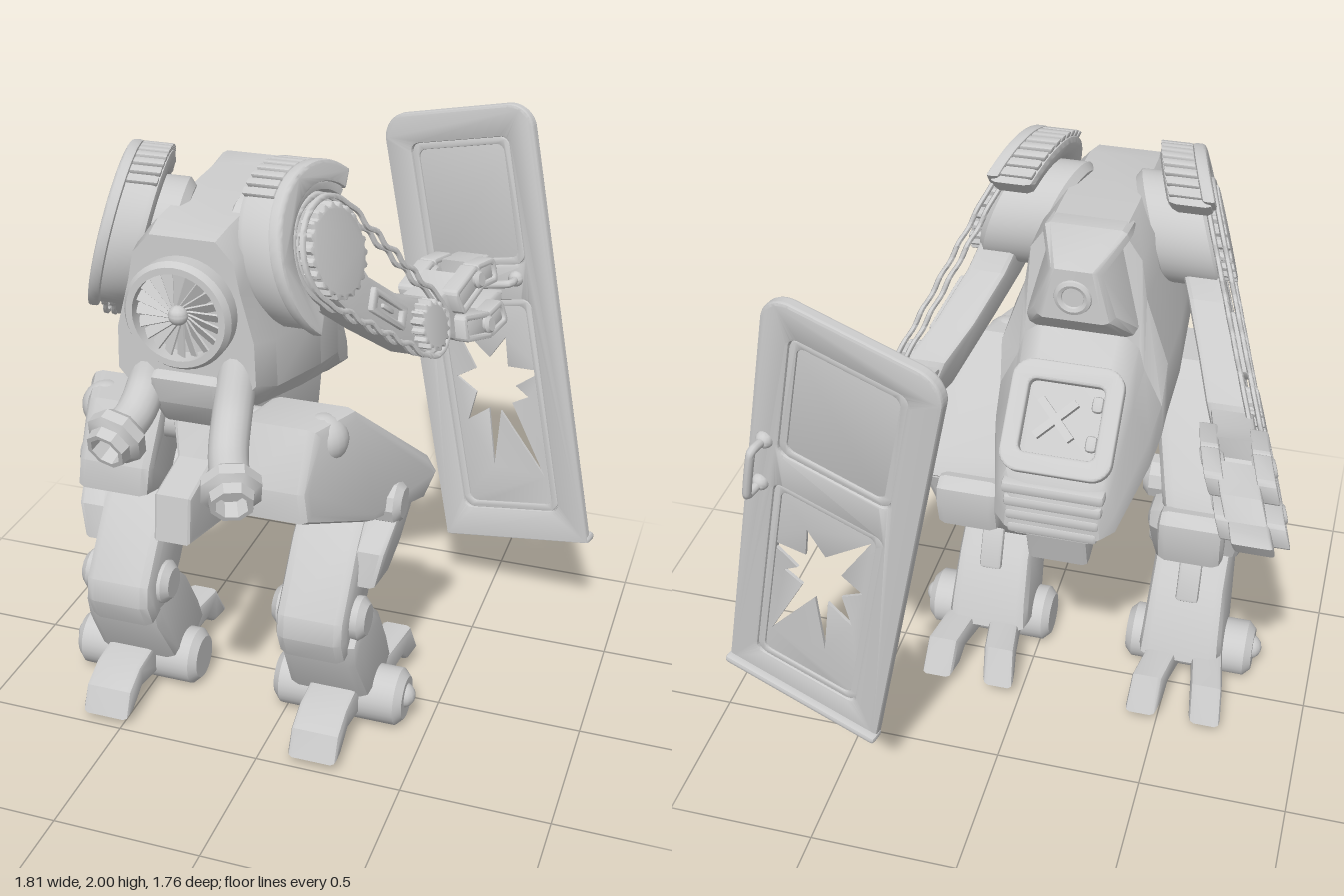
import * as THREE from 'three';
import { toCreasedNormals } from 'three/addons/utils/BufferGeometryUtils.js';
import { RoundedBoxGeometry } from 'three/addons/geometries/RoundedBoxGeometry.js';

const mat = new THREE.MeshStandardMaterial({ color: 0xcccccc, side: THREE.DoubleSide });
const V = (x, y, z) => new THREE.Vector3(x, y, z);

function add(parent, name, geo, crease = 0.6) {
  const mesh = new THREE.Mesh(toCreasedNormals(geo, crease), mat);
  mesh.name = name;
  parent.add(mesh);
  return mesh;
}

// Moves every vertex by a rule
function warp(geo, fn) {
  const p = geo.attributes.position, v = V(0, 0, 0);
  for (let i = 0; i < p.count; i++) {
    fn(v.fromBufferAttribute(p, i));
    p.setXYZ(i, v.x, v.y, v.z);
  }
  return geo;
}

// Mirrored copy in x with the triangle winding kept outward
function mirror(src) {
  const g = src.index ? src.toNonIndexed() : src.clone(), p = g.attributes.position;
  for (let i = 0; i < p.count; i += 3) {
    const t = [0, 2, 1].map(k => V(0, 0, 0).fromBufferAttribute(p, i + k));
    t.forEach((v, k) => p.setXYZ(i + k, -v.x, v.y, v.z));
  }
  return g;
}

function pair(parent, name, geo, crease) {
  add(parent, name + 'Left', geo, crease);
  add(parent, name + 'Right', mirror(geo), crease);
}

const shape = pts => new THREE.Shape(pts.map(p => new THREE.Vector2(...p)));

// Side profile [z, y] extruded across x
function prism(profile, w, cx = 0, bevel = 0.018) {
  const s = Array.isArray(profile) ? shape(profile) : profile;
  const g = new THREE.ExtrudeGeometry(s, { depth: w - 2 * bevel, bevelSize: bevel, bevelThickness: bevel,
    bevelOffset: -bevel, bevelSegments: 2, curveSegments: 24 });
  return g.translate(0, 0, bevel - w / 2).rotateY(-Math.PI / 2).translate(cx, 0, 0);
}

// Cylinder lying along x with softened rims
function disc(r, w, x, y, z, n = 28) {
  const b = Math.min(0.025, w * 0.3, r * 0.3);
  const pts = [[0, -w / 2], [r - b, -w / 2], [r, b - w / 2], [r, w / 2 - b], [r - b, w / 2], [0, w / 2]];
  return new THREE.LatheGeometry(pts.map(p => new THREE.Vector2(...p)), n).rotateZ(-Math.PI / 2).translate(x, y, z);
}

const box = (w, h, d, x, y, z, rx = 0, r = 0.012) =>
  new RoundedBoxGeometry(w, h, d, 1, r).rotateX(rx).translate(x, y, z);

// Skin over a row of equal rings, with closed ends
function loft(rings) {
  const n = rings[0].length, pos = [], tri = (...v) => v.forEach(p => pos.push(...p));
  for (let i = 0; i < rings.length - 1; i++) for (let j = 0; j < n; j++) {
    const [a, b, c, d] = [rings[i][j], rings[i][(j + 1) % n], rings[i + 1][(j + 1) % n], rings[i + 1][j]];
    tri(a, c, b); tri(a, d, c);
  }
  const first = rings[0], last = rings.at(-1);
  for (let j = 1; j < n - 1; j++) {
    tri(first[0], first[j], first[j + 1]);
    tri(last[0], last[j + 1], last[j]);
  }
  return new THREE.BufferGeometry().setAttribute('position', new THREE.Float32BufferAttribute(pos, 3));
}

// Round-cornered rectangle
function rect(x0, y0, x1, y1, r, Type = THREE.Path) {
  const s = new Type();
  s.absarc(x1 - r, y1 - r, r, 0, Math.PI / 2).absarc(x0 + r, y1 - r, r, Math.PI / 2, Math.PI);
  s.absarc(x0 + r, y0 + r, r, Math.PI, Math.PI * 1.5).absarc(x1 - r, y0 + r, r, Math.PI * 1.5, Math.PI * 2);
  s.closePath();
  return s;
}

function buildBody(g) {
  // z, bottom, top, lower half width, upper half width
  const rows = [[0.54, 1.34, 1.84, 0.22, 0.165], [0.45, 1.3, 1.86, 0.255, 0.18], [0.1, 1.21, 1.88, 0.275, 0.185],
    [-0.09, 1.16, 1.89, 0.27, 0.18], [-0.13, 1.15, 1.57, 0.265, 0.19], [-0.24, 1.11, 1.49, 0.25, 0.18],
    [-0.46, 1.03, 1.27, 0.19, 0.16], [-0.5, 1.03, 1.2, 0.15, 0.13]];
  add(g, 'torso', loft(rows.map(([z, b, t, w, u]) => {
    const h = t - b;
    const half = [[w * 0.75, b], [w, b + 0.13 * h], [w * 0.98, b + 0.4 * h], [u + 0.01, t - 0.3 * h],
      [u * 0.95, t - 0.12 * h], [u * 0.62, t]];
    return [...half.map(([x, y]) => [x, y, z]), ...half.reverse().map(([x, y]) => [-x, y, z])];
  })), 0.7);
  const hump = prism([[0.02, 1.88], [-0.1, 1.9], [-0.26, 1.84], [-0.26, 1.67], [-0.14, 1.56], [0.02, 1.56]], 0.35, 0, 0.03);
  add(g, 'rearHump', warp(hump, v => { v.x *= 1 - 2.6 * Math.max(0, -0.12 - v.z) * (v.y > 1.6 ? 1 : 0.5) - (v.y > 1.8 ? 0.25 : 0); }));
  add(g, 'rearPort', new THREE.TorusGeometry(0.045, 0.015, 8, 24).translate(0, 1.75, -0.255));

  // Fan in a round housing
  const ring = [[0.135, -0.08], [0.165, -0.08], [0.168, 0.02], [0.155, 0.04], [0.135, 0.04], [0.135, -0.08]];
  add(g, 'fanHousing', new THREE.LatheGeometry(ring.map(p => new THREE.Vector2(...p)), 40)
    .rotateX(Math.PI / 2).translate(0, 1.62, 0.57));
  add(g, 'fanHub', new THREE.SphereGeometry(0.03, 16, 10).translate(0, 1.62, 0.585));
  for (let i = 0; i < 20; i++)
    add(g, 'fanBlade', new THREE.BoxGeometry(0.115, 0.034, 0.006).rotateX(0.6).translate(0.078, 0, 0)
      .rotateZ(i * Math.PI / 10).translate(0, 1.62, 0.57));
  add(g, 'chinPlate', prism([[0.5, 1.44], [0.57, 1.4], [0.56, 1.32], [0.48, 1.22], [0.38, 1.25], [0.4, 1.44]], 0.22));

  // Pelvis and rear keel
  const pelvis = prism([[0.7, 0.92], [0.68, 1.07], [0.5, 1.11], [0.42, 1.28], [0, 1.2], [0, 0.96], [0.25, 0.84]], 0.22);
  add(g, 'pelvis', warp(pelvis, v => { v.x *= v.z > 0.45 ? 0.55 : v.y < 0.97 ? 0.75 : 1; }));
  add(g, 'rearKeel', prism([[0.25, 1.22], [-0.48, 1.1], [-0.41, 0.86], [0.15, 1.0]], 0.2));
  add(g, 'hipAxle', disc(0.07, 0.5, 0, 1.16, 0.34));

  // Rear hatch, lying on the sloping back
  const hatch = new THREE.Group();
  hatch.name = 'rearHatch';
  hatch.rotation.setFromRotationMatrix(new THREE.Matrix4().makeBasis(V(-1, 0, 0), V(0, 0.707, 0.707), V(0, 0.707, -0.707)));
  hatch.position.set(0, 1.375, -0.36);
  g.add(hatch);
  const frame = rect(-0.165, -0.165, 0.165, 0.165, 0.055, THREE.Shape);
  frame.holes.push(rect(-0.125, -0.12, 0.125, 0.12, 0.03));
  add(hatch, 'hatchFrame', new THREE.ExtrudeGeometry(frame, { depth: 0.03, bevelSize: 0.008, bevelThickness: 0.008 }));
  for (const a of [-0.8, 0.8])
    add(hatch, 'hatchBrace', new THREE.BoxGeometry(0.16, 0.024, 0.025).rotateZ(a).translate(-0.02, 0, 0.015));
  for (const y of [-0.06, 0.06]) add(hatch, 'hatchLatch', box(0.035, 0.05, 0.03, 0.1, y, 0.02));
  for (let i = 0; i < 4; i++) add(g, 'rearGrilleSlat', box(0.32 - i * 0.012, 0.04, 0.1, 0, 1.2 - i * 0.05, -0.455));

  // Bent tubes ending in nozzles
  const guns = [['Left', [[0.15, 1.47, 0.48], [0.155, 1.32, 0.57], [0.18, 1.24, 0.67], [0.225, 1.2, 0.77]]],
    ['Right', [[-0.13, 1.47, 0.46], [-0.14, 1.35, 0.52], [-0.145, 1.29, 0.6], [-0.16, 1.26, 0.68]]]];
  for (const [side, pts] of guns) {
    const curve = new THREE.CatmullRomCurve3(pts.map(p => V(...p)));
    add(g, 'gunTube' + side, new THREE.TubeGeometry(curve, 24, 0.06, 18), 1);
    const nozzle = [[0, -0.02], [0.075, -0.02], [0.095, 0.0], [0.095, 0.035], [0.07, 0.05], [0.065, 0.085],
      [0.05, 0.085], [0.045, 0.03], [0, 0.03]];
    const m = add(g, 'gunNozzle' + side, new THREE.LatheGeometry(nozzle.map(p => new THREE.Vector2(...p)), 8));
    m.position.set(...pts[3]);
    m.quaternion.setFromUnitVectors(V(0, 1, 0), curve.getTangent(1));
  }
}

function buildLegs(g) {
  const leg = (name, geo) => pair(g, name, geo);
  // Thigh splays outward and widens toward the knee
  const thigh = prism([[0.55, 1.07], [0.45, 1.24], [0.26, 1.24], [-0.06, 0.95], [-0.1, 0.87], [-0.02, 0.8],
    [0.24, 0.83], [0.55, 0.97]], 0.25, 0, 0.03);
  leg('thigh', warp(thigh, v => {
    const k = Math.max(0, 0.5 - v.z);
    v.x = v.x * (1 + 0.7 * k) + 0.25 + 0.3 * k + 0.12 * (1.1 - v.y);
  }));
  leg('hipCap', new THREE.SphereGeometry(0.08, 20, 14).translate(0.365, 1.165, 0.345));
  leg('kneeJoint', disc(0.075, 0.39, 0.375, 0.85, 0.115, 10));
  leg('kneeCap', prism([[-0.05, 0.88], [-0.12, 0.895], [-0.165, 0.87], [-0.17, 0.8], [-0.15, 0.71], [-0.11, 0.69],
    [-0.07, 0.75]], 0.22, 0.38, 0.03));
  const shin = [[0.16, 0.82], [-0.06, 0.84], [-0.07, 0.77], [0.02, 0.62], [0.12, 0.48], [0.22, 0.38], [0.38, 0.36],
    [0.42, 0.45], [0.41, 0.53], [0.25, 0.74]];
  leg('shin', prism(shin, 0.24, 0.34, 0.035));
  leg('shinSidePlate', warp(prism([[0.15, 0.82], [-0.05, 0.82], [0.0, 0.64], [0.1, 0.56], [0.27, 0.6], [0.25, 0.72]], 0.11, 0.505),
    v => { v.x -= 0.2 * (0.8 - v.y); }));
  leg('ankleJoint', disc(0.075, 0.32, 0.345, 0.49, 0.285, 14));
  leg('lowerLeg', warp(prism([[0.37, 0.42], [0.24, 0.54], [0.08, 0.4], [-0.01, 0.24], [-0.04, 0.15], [0.08, 0.1],
    [0.24, 0.14], [0.35, 0.33]], 0.27, 0.355, 0.035), v => { v.x += (v.x - 0.355) * 0.5 * Math.max(0, 0.34 - v.y); }));
  leg('lowerLegPiston', box(0.08, 0.18, 0.03, 0.36, 0.44, 0.085, 0.4));
  leg('footAxle', disc(0.1, 0.46, 0.375, 0.1, 0.14));
  leg('footAxleCap', new THREE.SphereGeometry(0.045, 14, 10).translate(0.59, 0.11, 0.14));
  leg('frontToe', prism([[0.49, 0.03], [0.45, 0.12], [0.36, 0.165], [0.2, 0.18], [0.18, 0.05], [0.35, 0.08],
    [0.43, 0.03]], 0.17, 0.375));
  for (const s of [-1, 1])
    leg('rearToe', warp(prism([[0.08, 0.17], [-0.17, 0.18], [-0.235, 0.055], [-0.15, 0.05], [-0.1, 0.09],
      [0.08, 0.06]], 0.11, 0.375 + s * 0.08), v => { v.x -= s * v.z * 0.15; }));
}

function buildArms(g) {
  // The arm is drawn flat, then leaned so that it spreads outward below and behind
  const arm = (name, geo, c) => pair(g, name, warp(geo, v => { v.x -= 0.27 * (v.y - 1.74) + 0.24 * (v.z - 0.24); }), c);
  const A = { z: 0.24, y: 1.74, r: 0.16 }, B = { z: -0.17, y: 1.36, r: 0.1 };
  const at = (c, r, a) => [c.z + r * Math.cos(a), c.y + r * Math.sin(a)];
  const sector = (r0, r1, a0, a1) => new THREE.Shape().absarc(A.z, A.y, r1, a0, a1).absarc(A.z, A.y, r0, a1, a0, true);
  arm('shoulderDrum', disc(0.17, 0.22, 0.23, A.y, A.z, 36));
  arm('shoulderGuard', prism(sector(0.17, 0.25, -0.9, 2.35), 0.14, 0.285, 0.025));
  arm('shoulderGuardRim', prism(sector(0.2, 0.265, -0.9, 2.3), 0.04, 0.345, 0.01));
  for (let i = 0; i < 10; i++) {
    const a = 0.95 + i * 0.14, [z, y] = at(A, 0.252, a);
    arm('shoulderRib', box(0.1, 0.022, 0.026, 0.275, y, z, Math.PI / 2 - a, 0.004));
  }
  // Gears
  for (const [c, n, name] of [[A, 22, 'shoulderGear'], [B, 16, 'elbowGear']]) {
    const teeth = [];
    for (let i = 0; i < n * 4; i++) teeth.push(at(c, c.r - (i % 4 < 2 ? 0.015 : 0.027), i * Math.PI / (2 * n)));
    arm(name, prism(teeth, 0.06, 0.35, 0.006));
  }
  arm('upperArm', prism([[0.3, 1.64], [0.2, 1.52], [0.08, 1.42], [-0.12, 1.27], [-0.21, 1.27], [-0.26, 1.35],
    [-0.23, 1.43], [-0.08, 1.49], [0.06, 1.6], [0.12, 1.72]], 0.13, 0.275));
  const slot = rect(-0.095, -0.04, 0.095, 0.04, 0.01, THREE.Shape);
  slot.holes.push(rect(-0.07, -0.02, 0.07, 0.02, 0.006));
  arm('armPanel', prism(slot, 0.03, 0.34, 0.004).rotateX(-0.68).translate(0, 1.48, 0.02));
  arm('armPanelBar', box(0.02, 0.015, 0.06, 0.34, 1.48, 0.02, -0.68, 0.004));

  // Wavy chains around both gears
  const t = Math.atan2(B.y - A.y, B.z - A.z), f = 1.463, path = [];
  const arc = (c, a0, a1) => { for (let i = 0; i <= 10; i++) path.push(at(c, c.r, a0 + (a1 - a0) * i / 10)); };
  const run = (c, d, a) => {
    const p = at(c, c.r, a), q = at(d, d.r, a);
    for (let i = 1; i < 10; i++) {
      const k = i / 10, w = i % 2 ? 0.008 : -0.008;
      path.push([p[0] + (q[0] - p[0]) * k + w * Math.cos(a), p[1] + (q[1] - p[1]) * k + w * Math.sin(a)]);
    }
  };
  arc(A, t + f, t - f + Math.PI * 2); run(A, B, t - f); arc(B, t - f, t + f); run(B, A, t + f);
  for (const x of [0.335, 0.365]) {
    const curve = new THREE.CatmullRomCurve3(path.map(([z, y]) => V(x, y, z)), true);
    arm('driveChain', new THREE.TubeGeometry(curve, 160, 0.009, 6, true), 1);
  }

  // Wrist and jointed fingers
  arm('wrist', prism([[-0.2, 1.41], [-0.2, 1.32], [-0.32, 1.25], [-0.42, 1.22], [-0.42, 1.3], [-0.36, 1.34],
    [-0.42, 1.38], [-0.42, 1.45], [-0.33, 1.42]], 0.13, 0.285, 0.012));
  const link = (name, x, y, z, len, h, tilt) => {
    const s = rect(-len / 2, -h / 2, len / 2, h / 2, 0.02, THREE.Shape);
    s.holes.push(rect(0.02 - len / 2, 0.02 - h / 2, len / 2 - 0.02, h / 2 - 0.02, 0.008));
    arm(name, prism(s, 0.055, 0, 0.006).rotateX(tilt).translate(x, y, z));
    arm(name + 'Core', box(0.035, h * 0.7, len * 0.85, x, y, z, tilt, 0.006));
  };
  for (const x of [0.21, 0.36]) for (const s of [-1, 1]) {
    link('palmLink', x, 1.335 + s * 0.065, -0.41, 0.18, 0.09, s * 0.25);
    link('fingerLink', x, 1.335 + s * 0.08, -0.54, 0.13, 0.085, -s * 0.1);
    arm('knuckle', disc(0.032, 0.07, x, 1.335 + s * 0.08, -0.48, 12));
  }
  const tip = [[-0.53, 0.115], [-0.66, 0.1], [-0.7, 0.04], [-0.66, 0.03], [-0.53, 0.05]];
  for (const s of [-1, 1]) arm('fingerTip', prism(tip.map(([z, y]) => [z, 1.335 + s * y]), 0.12, 0.28, 0.01));
}

function buildShield(root) {
  const g = new THREE.Group();
  g.name = 'doorShield';
  const u = V(0.55, 0.13, 0.12).normalize(), n = u.clone().cross(V(-0.34, 1.58, -0.14)).normalize();
  g.rotation.setFromRotationMatrix(new THREE.Matrix4().makeBasis(u, n.clone().cross(u), n));
  g.position.set(0.445, 1.11, -0.745);
  root.add(g);
  const panels = [[-0.2, 0.24, 0.2, 0.71, 0.04], [-0.2, -0.7, 0.2, 0.13, 0.04]];
  const W = 0.28, H = 0.8;
  const outline = new THREE.Shape().moveTo(-W, -H).lineTo(W, -H);
  outline.absarc(W - 0.08, H - 0.08, 0.08, 0, Math.PI / 2).absarc(0.08 - W, H - 0.08, 0.08, Math.PI / 2, Math.PI).closePath();
  outline.holes = panels.map(p => rect(...p));
  const ex = (s, depth, z, b) => new THREE.ExtrudeGeometry(s, { depth, bevelSize: b, bevelThickness: b, bevelSegments: 2 })
    .translate(0, 0, z);
  add(g, 'doorFrame', ex(outline, 0.02, -0.01, 0.01));
  // Burst-shaped hole through the lower panel
  const tips = [[-0.15, 0.27], [-0.15, 0.03], [-0.13, -0.14], [-0.05, -0.32], [0.15, -0.36], [0.13, -0.05], [0.2, 0.05], [0.07, 0.18]];
  const burst = tips.flatMap(([x, y], i) => {
    const next = new THREE.Vector2(...tips[(i + 1) % 8]).normalize();
    const a = new THREE.Vector2(x, y).normalize().add(next).angle();
    return [[x, y], [0.085 * Math.cos(a), 0.105 * Math.sin(a)]];
  }).map(([x, y]) => [x, y - 0.2]);
  panels.forEach(([a, b, c, d, r], i) => {
    const s = rect(a - 0.005, b - 0.005, c + 0.005, d + 0.005, r, THREE.Shape);
    if (i) s.holes.push(shape(burst));
    add(g, 'doorPanel', ex(s, 0.008, -0.004, 0.001));
    const trim = rect(a + 0.012, b + 0.012, c - 0.012, d - 0.012, r, THREE.Shape);
    trim.holes.push(rect(a + 0.03, b + 0.03, c - 0.03, d - 0.03, r * 0.8));
    add(g, 'doorTrim', ex(trim, 0.016, -0.008, 0.004));
  });
  add(g, 'doorSill', box(0.59, 0.03, 0.06, 0, -0.8, -0.015));
  // Grab bars: front one for the hand, rear one along the edge
  const bar = (name, pts) => {
    add(g, name, new THREE.TubeGeometry(new THREE.CatmullRomCurve3(pts.map(p => V(...p)), false, 'catmullrom', 0.2), 32, 0.014, 10), 1);
    for (const p of [pts[0], pts.at(-1)]) add(g, name + 'Mount', new THREE.SphereGeometry(0.028, 14, 10).translate(...p));
  };
  bar('handGrip', [[-0.15, 0.2, 0.02], [-0.15, 0.2, 0.09], [0.15, 0.2, 0.09], [0.15, 0.2, 0.02]]);
  bar('outerHandle', [[0.235, 0.1, -0.02], [0.235, 0.1, -0.09], [0.235, 0.28, -0.09], [0.235, 0.28, -0.02]]);
}

export function createModel() {
  const root = new THREE.Group(), mech = new THREE.Group();
  root.name = 'walkerRobot';
  mech.name = 'mech';
  mech.position.x = -0.185;
  root.add(mech);
  buildBody(mech);
  buildLegs(mech);
  buildArms(mech);
  buildShield(root);
  return root;
}
